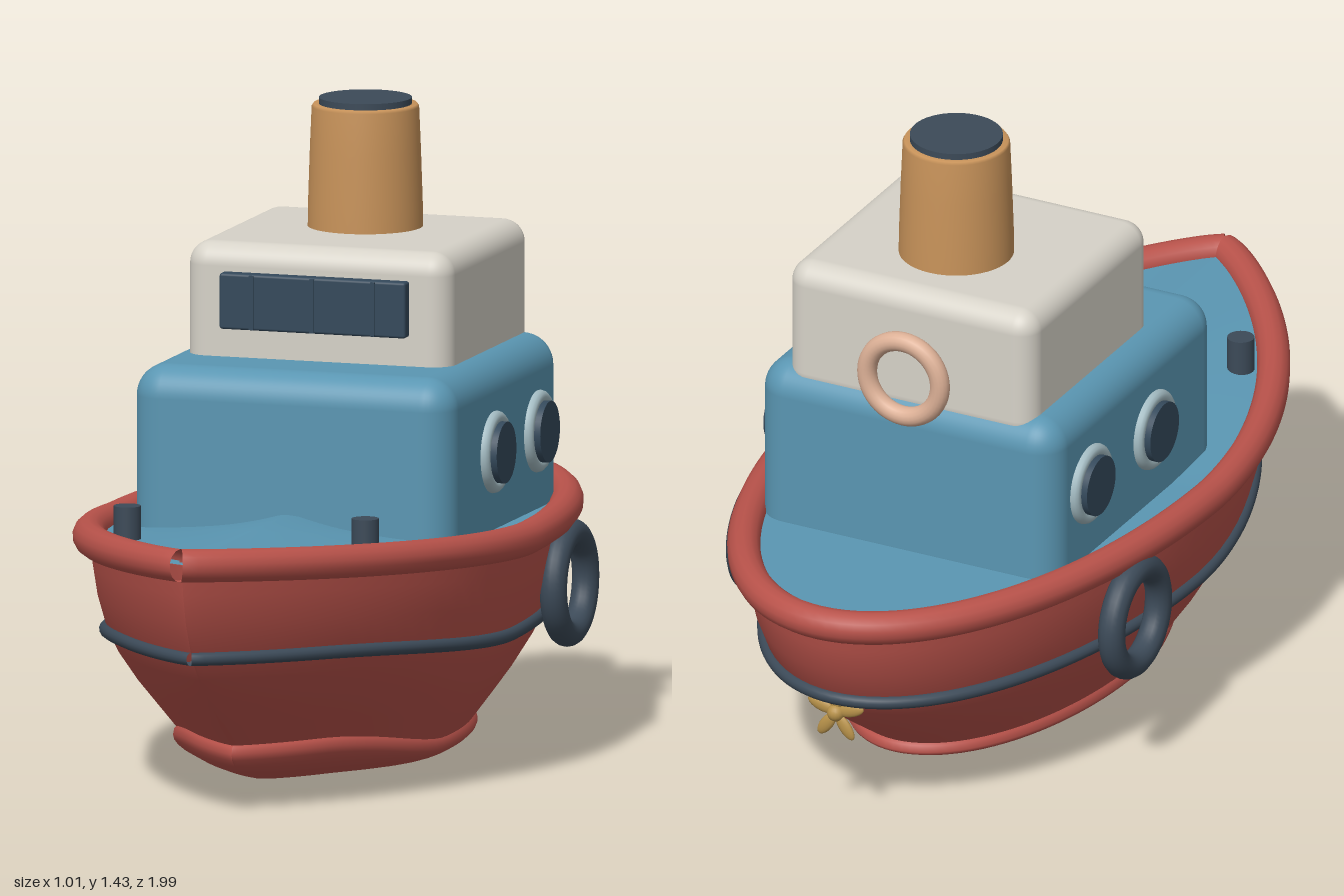
import * as THREE from 'three';
import { RoundedBoxGeometry } from 'three/addons/geometries/RoundedBoxGeometry.js';

const mat = (color, side = THREE.FrontSide) => new THREE.MeshStandardMaterial({ color, side });
const RED = mat(0xb8524a, THREE.DoubleSide), BLUE = mat(0x5a96b2), WHITE = mat(0xd6d2c8);
const DARK = mat(0x3c4a58, THREE.DoubleSide), GLASS = mat(0x34495b), STEEL = mat(0xa3bbc2);
const ORANGE = mat(0xc8935a), GOLD = mat(0xb8924a), CREAM = mat(0xdcb096);

const SEG = 96, LENGTH = 0.96, BEAM = 0.47;

// Heights of the rail and of the keel edge at angle a (0 = bow, PI = stern)
const sheer = a => 0.525 + 0.065 * Math.pow(Math.max(0, Math.cos(a)), 1.15);
const chine = a => 0.08 + 0.055 * THREE.MathUtils.smoothstep(Math.cos(a), 0, 0.75);

// Plan outline: elliptical stern, more pointed bow
function station(a, scale, y) {
  const s = Math.sin(a), c = Math.cos(a);
  const x = c > 0 ? Math.sign(s) * Math.pow(Math.abs(s), 1.7) : s;
  return new THREE.Vector3(x * BEAM * scale, y, c * LENGTH * scale);
}

// Skin through rings given as { scale, y(a) }, with a crease at the bow
function loft(rings) {
  const pos = [], idx = [], n = SEG + 1;
  rings.forEach((r, j) => {
    for (let i = 0; i <= SEG; i++) {
      const a = i / SEG * Math.PI * 2;
      pos.push(...station(a, r.scale, r.y(a)).toArray());
      if (j && i < SEG) {
        const p = (j - 1) * n + i, q = p + n;
        idx.push(p, p + 1, q, p + 1, q + 1, q);
      }
    }
  });
  const g = new THREE.BufferGeometry();
  g.setAttribute('position', new THREE.Float32BufferAttribute(pos, 3));
  g.setIndex(idx);
  g.computeVertexNormals();
  return g;
}

// Tube that runs round the hull from the bow and back
function hoop(scale, y, radius) {
  const pts = [];
  for (let i = 0; i <= SEG; i++) {
    const a = i / SEG * Math.PI * 2;
    pts.push(station(a, scale, y(a)));
  }
  return new THREE.TubeGeometry(new THREE.CatmullRomCurve3(pts), 160, radius, 14, false);
}

export function createModel() {
  const boat = new THREE.Group();
  boat.name = 'tugboat';
  const add = (name, geo, material, x = 0, y = 0, z = 0, parent = boat) => {
    const m = new THREE.Mesh(geo, material);
    m.name = name;
    m.position.set(x, y, z);
    parent.add(m);
    return m;
  };
  const at = t => a => THREE.MathUtils.lerp(chine(a), sheer(a), t);

  // Hull sides, flaring from the keel edge to the rail
  const flare = [[0, 0.625], [0.12, 0.705], [0.25, 0.79], [0.4, 0.873], [0.52, 0.922], [0.7, 0.965], [0.85, 0.985], [1, 0.995]];
  add('hull', loft(flare.map(([t, scale]) => ({ scale, y: at(t) }))), RED);

  // Rounded bottom
  const bottom = [];
  for (let k = 0; k <= 12; k++) {
    const f = (1 - k / 12) * Math.PI / 2;
    bottom.push({ scale: 0.638 * Math.cos(f), y: a => THREE.MathUtils.lerp(chine(a) - 0.018, 0.003, Math.sin(f)) });
  }
  bottom.push({ scale: 0.632, y: a => chine(a) - 0.004 }, { scale: 0.615, y: a => chine(a) + 0.004 });
  add('keel', loft(bottom), RED);

  // Deck, rail and rubbing strake
  const deckY = a => sheer(a) + 0.002;
  add('deck', loft([1, 0.75, 0.5, 0.25, 0].map(scale => ({ scale, y: scale ? deckY : () => 0.53 }))), BLUE);
  add('rail', hoop(1, sheer, 0.037), RED);
  add('strake', hoop(0.928, at(0.52), 0.015), DARK);

  // Cabin and wheelhouse
  add('cabin', new RoundedBoxGeometry(0.74, 0.44, 0.78, 6, 0.07), BLUE, 0, 0.68, -0.17);
  add('wheelhouse', new RoundedBoxGeometry(0.61, 0.31, 0.57, 6, 0.05), WHITE, 0, 0.995, -0.255);

  // Front window with mullions
  add('frontWindow', new RoundedBoxGeometry(0.43, 0.124, 0.05, 2, 0.006), GLASS, 0, 1.027, 0.033);
  for (const x of [-0.14, 0, 0.14]) add('mullion', new THREE.BoxGeometry(0.01, 0.12, 0.01), GLASS, x, 1.027, 0.057);

  // Funnel with a rolled lip and dark mouth
  const funnel = [[0.127, 1.12], [0.126, 1.2], [0.122, 1.32], [0.118, 1.415], [0.114, 1.421], [0.1, 1.421], [0, 1.421]];
  add('funnel', new THREE.LatheGeometry(funnel.map(p => new THREE.Vector2(...p)), 48), ORANGE, 0, 0, -0.31);
  add('funnelMouth', new THREE.CylinderGeometry(0.102, 0.102, 0.03, 48), DARK, 0, 1.42, -0.31);

  // Parts mirrored on both sides
  for (const s of [-1, 1]) {
    for (const z of [-0.09, -0.39]) {
      const port = new THREE.Group();
      port.name = 'porthole';
      port.position.set(s * 0.37, 0.7, z);
      port.rotation.y = s * Math.PI / 2;
      add('portholeRim', new THREE.TorusGeometry(0.076, 0.015, 12, 40), STEEL, 0, 0, 0.003, port);
      add('portholeGlass', new THREE.CylinderGeometry(0.068, 0.068, 0.04, 40), GLASS, 0, 0, 0.01, port).rotation.x = Math.PI / 2;
      boat.add(port);
    }
    add('tireFender', new THREE.TorusGeometry(0.111, 0.03, 16, 48), DARK, s * 0.46, 0.375, -0.345).rotation.y = Math.PI / 2;
    add('bollard', new THREE.CylinderGeometry(0.03, 0.03, 0.12, 24), DARK, s * 0.275, 0.58, 0.51);
  }

  // Life ring on the back of the wheelhouse
  add('lifeRing', new THREE.TorusGeometry(0.09, 0.022, 16, 48), CREAM, 0, 0.945, -0.56);

  // Five-bladed propeller at the stern
  const propeller = new THREE.Group();
  propeller.name = 'propeller';
  propeller.position.set(0, 0.27, -0.88);
  add('hub', new THREE.SphereGeometry(0.02, 16, 12), GOLD, 0, 0, 0, propeller);
  add('shaft', new THREE.CylinderGeometry(0.008, 0.008, 0.08, 12), GOLD, 0, 0, 0.04, propeller).rotation.x = Math.PI / 2;
  for (let i = 0; i < 5; i++) {
    const a = i / 5 * Math.PI * 2;
    const blade = add('blade', new THREE.SphereGeometry(1, 14, 10), GOLD, -Math.sin(a) * 0.038, Math.cos(a) * 0.038, 0, propeller);
    blade.scale.set(0.015, 0.034, 0.008);
    blade.rotation.z = a;
  }
  boat.add(propeller);
  return boat;
}
